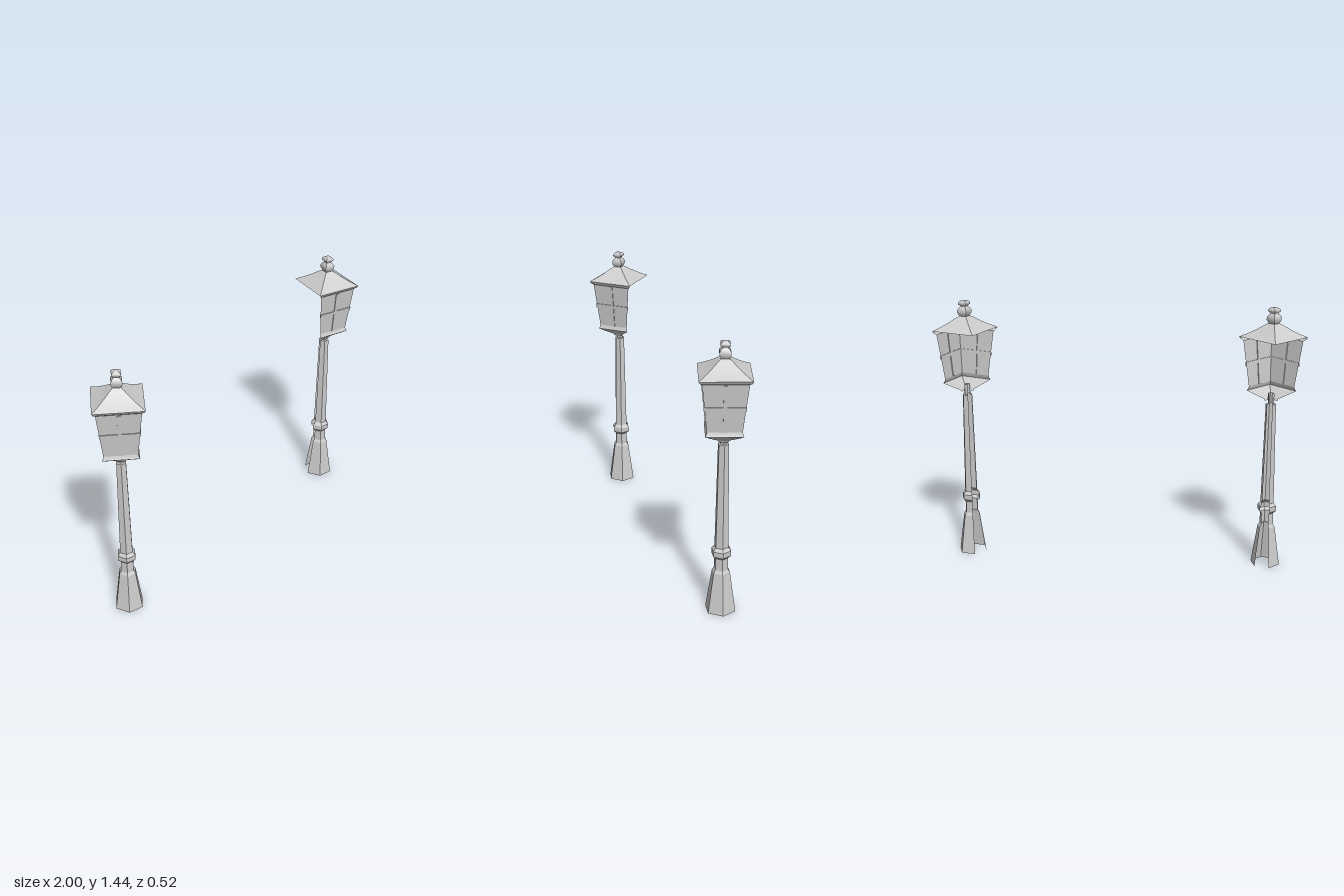
import * as THREE from 'three';
import { mergeGeometries } from 'three/addons/utils/BufferGeometryUtils.js';

const rad = THREE.MathUtils.degToRad;
const smooth = new THREE.MeshStandardMaterial({ color: 0xcccccc, side: THREE.DoubleSide });
const flat = new THREE.MeshStandardMaterial({ color: 0xcccccc, side: THREE.DoubleSide, flatShading: true });

// Sweeps a [radius, height] profile over the chosen sides of an n-sided prism;
// each side is flat across and smooth along the profile.
function panels(name, profile, n, sides, material) {
  const points = profile.map(([r, y]) => new THREE.Vector2(r, y));
  const step = (Math.PI * 2) / n;
  const strips = sides.map((i) => {
    const strip = new THREE.LatheGeometry(points, 1, i * step, step);
    strip.computeVertexNormals();
    return strip;
  });
  const mesh = new THREE.Mesh(mergeGeometries(strips), material);
  mesh.name = name;
  return mesh;
}

const postProfile = [
  [0.081, 0], [0.048, 0.22], [0.038, 0.235], [0.037, 0.3], [0.052, 0.315],
  [0.052, 0.343], [0.037, 0.36], [0.028, 0.92], [0.017, 0.922], [0.017, 0.98],
];
const bowlProfile = [[0.033, 0.937], [0.038, 0.948], [0.065, 0.96], [0.1, 0.977], [0.131, 0.993]];
const glassProfile = [[0.12, 1.015], [0.157, 1.265]];
const roofProfile = [[0.181, 1.286], [0.135, 1.305], [0.09, 1.327], [0.055, 1.347], [0.03, 1.36]];
const finialProfile = [
  [0.024, 1.358], [0.03, 1.364], [0.039, 1.378], [0.039, 1.393], [0.029, 1.405], [0.02, 1.411],
  [0.022, 1.416], [0.033, 1.424], [0.033, 1.433], [0.022, 1.442], [0, 1.444],
];

// Cross of glazing bars lying on one sloping lantern face
function windowCross(angle) {
  const cross = new THREE.Group();
  cross.name = 'windowCross';
  const bar = (name, w, h) => {
    const mesh = new THREE.Mesh(new THREE.BoxGeometry(w, h, 0.009), flat);
    mesh.name = name;
    cross.add(mesh);
  };
  bar('verticalBar', 0.018, 0.245);
  bar('horizontalBar', 0.2, 0.02);
  const apothem = 0.138 * Math.SQRT1_2;
  cross.rotation.set(Math.atan2(0.037 * Math.SQRT1_2, 0.25), angle, 0, 'YXZ');
  cross.position.set(Math.sin(angle) * apothem, 1.138, Math.cos(angle) * apothem);
  return cross;
}

function lamp(name, x, z, lanternYaw, postYaw) {
  const group = new THREE.Group();
  group.name = name;
  group.position.set(x, 0, z);

  // Six-sided post, open on one side
  const post = panels('post', postProfile, 6, [1, 2, 3, 4, 5], flat);
  post.rotation.y = rad(postYaw);

  // Square lantern: two front walls under a complete roof
  const lantern = new THREE.Group();
  lantern.name = 'lantern';
  lantern.rotation.y = rad(lanternYaw);
  const front = [0, 3];
  const all = [0, 1, 2, 3];
  lantern.add(
    panels('bowl', bowlProfile, 4, front, smooth),
    panels('lowerRim', [[0.131, 0.993], [0.125, 1.002], [0.12, 1.015]], 4, front, smooth),
    panels('glassWalls', glassProfile, 4, front, flat),
    panels('cornice', [[0.157, 1.265], [0.172, 1.274], [0.181, 1.286]], 4, front, flat),
    panels('roof', roofProfile, 4, all, smooth),
    panels('finial', finialProfile, 4, all, smooth),
    windowCross(Math.PI / 4),
    windowCross(-Math.PI / 4),
  );
  group.add(post, lantern);
  return group;
}

export function createModel() {
  const model = new THREE.Group();
  model.name = 'streetLamps';
  model.add(
    lamp('rightLamp', -0.82, -0.08, -3, 130),
    lamp('leftLamp', 0.83, 0.09, 20, 193),
  );
  return model;
}
